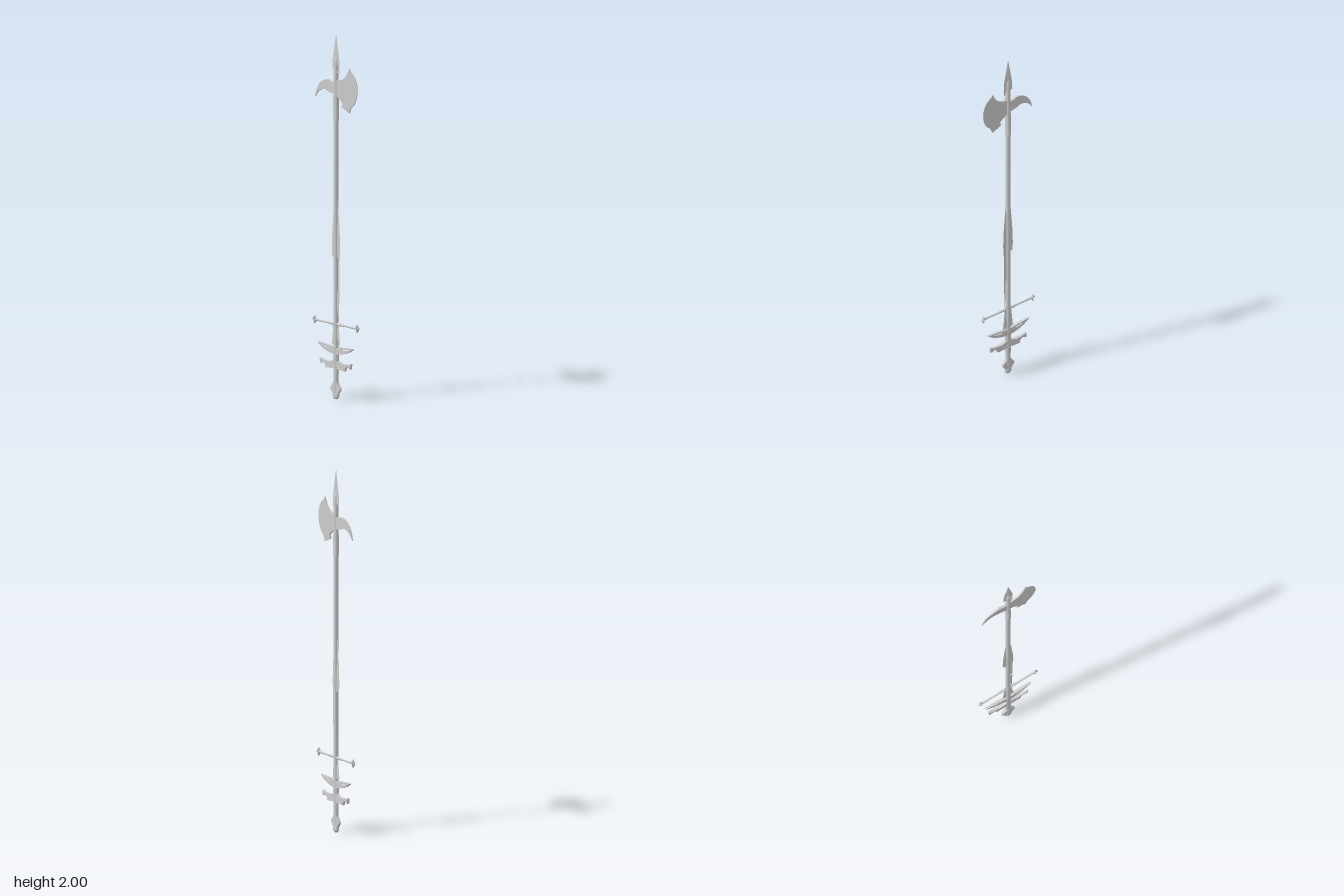
import * as THREE from 'three';
import { toCreasedNormals } from 'three/addons/utils/BufferGeometryUtils.js';

const material = new THREE.MeshStandardMaterial({ color: 0xcccccc, side: THREE.DoubleSide });

export function createModel() {
  const model = new THREE.Group();

  function add(name, geometry, parent = model) {
    const mesh = new THREE.Mesh(toCreasedNormals(geometry, 0.6), material);
    mesh.name = name;
    parent.add(mesh);
    return mesh;
  }

  // Turned part from [radius, y] pairs
  const turned = (profile, segments = 16) =>
    new THREE.LatheGeometry(profile.map(([r, y]) => new THREE.Vector2(r, y)), segments);

  // Diamond-section blade from [y, half width, half thickness] stations
  function blade(stations) {
    const positions = [], index = [];
    for (const [y, w, t] of stations) positions.push(w, y, 0, 0, y, t, -w, y, 0, 0, y, -t);
    for (let i = 0; i < stations.length - 1; i++) {
      for (let j = 0; j < 4; j++) {
        const a = i * 4 + j, b = i * 4 + (j + 1) % 4;
        index.push(a, a + 4, b, b, a + 4, b + 4);
      }
    }
    const geometry = new THREE.BufferGeometry();
    geometry.setAttribute('position', new THREE.Float32BufferAttribute(positions, 3));
    geometry.setIndex(index);
    // Outward winding
    for (let i = 0; i < index.length; i += 3) geometry.index.setXYZ
      ? geometry.index.setXYZ(i / 3, index[i], index[i + 1], index[i + 2]) : null;
    return geometry;
  }

  // Flat plate from an outline, thinning with distance from the shaft
  function plate(shape, root, tip, reach) {
    const geometry = new THREE.ExtrudeGeometry(shape, { depth: 2, bevelEnabled: false, curveSegments: 10 });
    geometry.translate(0, 0, -1);
    const p = geometry.attributes.position;
    for (let i = 0; i < p.count; i++) {
      const k = Math.min(Math.abs(p.getX(i)) / reach, 1);
      p.setZ(i, p.getZ(i) * THREE.MathUtils.lerp(root, tip, k));
    }
    geometry.computeVertexNormals();
    return geometry;
  }
  const outline = (points) => new THREE.Shape(points.map(([x, y]) => new THREE.Vector2(x, y)));
  const mirrored = (points) => outline([...points, ...points.map(([x, y]) => [-x, y]).reverse()]);

  // Pole, head socket and spear point
  add('shaft', turned([[0, 0.02], [0.013, 0.02], [0.014, 0.4], [0.0145, 1.535], [0, 1.535]]));
  add('headSocket', turned([
    [0, 1.53], [0.0165, 1.53], [0.0165, 1.545], [0.0155, 1.55], [0.0145, 1.72],
    [0.014, 1.84], [0.011, 1.868], [0.005, 1.88], [0, 1.882]]));
  add('spearPoint', blade([
    [1.74, 0.012, 0.005], [1.775, 0.025, 0.006], [1.81, 0.03, 0.007], [1.86, 0.028, 0.007],
    [1.9, 0.021, 0.006], [1.95, 0.011, 0.004], [2, 0.0005, 0.0005]]));

  // Axe blade with a convex edge and two pointed horns
  const axe = new THREE.Shape();
  axe.moveTo(0, 1.755);
  axe.lineTo(0.03, 1.755);
  axe.quadraticCurveTo(0.08, 1.765, 0.1, 1.81);
  axe.lineTo(0.11, 1.829);
  axe.lineTo(0.122, 1.812);
  axe.bezierCurveTo(0.188, 1.785, 0.196, 1.66, 0.122, 1.615);
  axe.lineTo(0.11, 1.587);
  axe.quadraticCurveTo(0.085, 1.597, 0.052, 1.612);
  axe.lineTo(0.06, 1.632);
  axe.quadraticCurveTo(0.035, 1.655, 0, 1.672);
  add('axeBlade', plate(axe, 0.0075, 0.0015, 0.18));

  // Hooked back spike
  const beak = new THREE.Shape();
  beak.moveTo(0, 1.74);
  beak.lineTo(-0.03, 1.738);
  beak.lineTo(-0.055, 1.748);
  beak.bezierCurveTo(-0.11, 1.745, -0.155, 1.71, -0.166, 1.64);
  beak.bezierCurveTo(-0.145, 1.675, -0.11, 1.692, -0.08, 1.69);
  beak.lineTo(-0.06, 1.683);
  beak.lineTo(0, 1.672);
  add('backSpike', plate(beak, 0.008, 0.003, 0.17));

  // Long blades lying along the pole
  add('longBlade', blade([
    [0.25, 0.026, 0.008], [0.42, 0.024, 0.008], [0.6, 0.028, 0.008], [0.78, 0.03, 0.008],
    [0.82, 0.034, 0.008], [0.92, 0.03, 0.007], [1.03, 0.021, 0.006], [1.1, 0.013, 0.004], [1.13, 0.001, 0.001]]));
  add('bladeBase', blade([
    [0.25, 0.036, 0.009], [0.3, 0.034, 0.009], [0.36, 0.027, 0.008], [0.43, 0.02, 0.007]]));

  // Slim crossguard with pointed ring ends
  const rodGuard = new THREE.Group();
  rodGuard.name = 'rodGuard';
  model.add(rodGuard);
  const rod = turned([[0, -0.172], [0.0065, -0.17], [0.005, -0.08], [0.009, 0], [0.005, 0.08], [0.0065, 0.17], [0, 0.172]], 10);
  add('guardRod', rod.rotateZ(Math.PI / 2), rodGuard).position.y = 0.415;
  for (const side of [1, -1]) {
    const ring = new THREE.TorusGeometry(0.015, 0.0055, 8, 4);
    ring.scale(0.7, 1.1, 1.2);
    add('guardEndRing', ring, rodGuard).position.set(side * 0.173, 0.415, 0);
  }

  // Crescent guard with a slot through each arm
  const crescent = new THREE.Shape();
  crescent.moveTo(-0.145, 0.298);
  crescent.quadraticCurveTo(-0.09, 0.255, 0, 0.25);
  crescent.quadraticCurveTo(0.09, 0.255, 0.145, 0.298);
  crescent.lineTo(0.115, 0.297);
  crescent.lineTo(0, 0.288);
  crescent.lineTo(-0.115, 0.297);
  for (const s of [1, -1]) {
    const slot = outline([[s * 0.045, 0.283], [s * 0.11, 0.289], [s * 0.085, 0.28], [s * 0.05, 0.276]]);
    crescent.holes.push(slot);
  }
  add('crescentGuard', plate(crescent, 0.01, 0.006, 0.145));

  // Lower guards with flared, stepped ends
  add('flaredGuard', plate(mirrored([
    [0.02, 0.19], [0.07, 0.196], [0.1, 0.193], [0.123, 0.184], [0.125, 0.214], [0.1, 0.206],
    [0.05, 0.203], [0.02, 0.214]]), 0.011, 0.007, 0.125));
  add('shortGuard', plate(mirrored([
    [0.015, 0.172], [0.076, 0.167], [0.078, 0.178], [0.09, 0.193], [0.03, 0.2], [0.01, 0.205]]), 0.01, 0.007, 0.09));

  // Grip and pommels
  add('grip', turned([[0, 0.04], [0.01, 0.05], [0.013, 0.09], [0.0155, 0.15], [0.014, 0.19],
    [0.0165, 0.23], [0.0155, 0.27], [0, 0.275]]).scale(1.1, 1, 0.85));
  add('flaredPommel', plate(mirrored([
    [0.01, 0.025], [0.022, 0.038], [0.041, 0.06], [0.033, 0.075], [0.02, 0.085], [0.013, 0.1]]), 0.011, 0.006, 0.041));
  add('roundPommel', new THREE.SphereGeometry(0.022, 20, 14).scale(1, 1, 0.66)).position.y = 0.025;

  return model;
}
